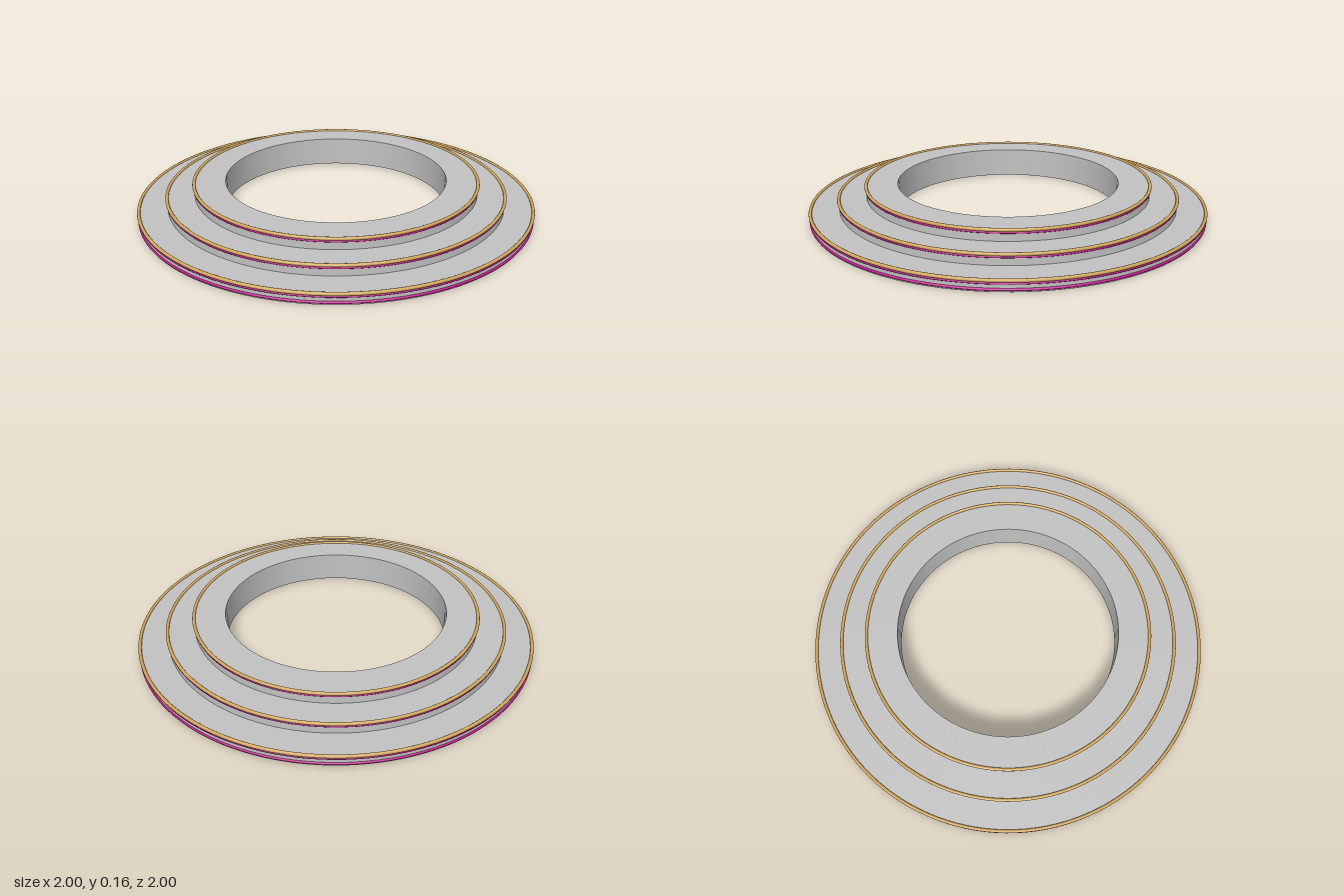
import * as THREE from 'three';
import { mergeGeometries } from 'three/addons/utils/BufferGeometryUtils.js';

const SEGMENTS = 128;

// Revolves each straight piece of a profile separately, so corners stay sharp.
function sharpLathe(profile) {
  const pieces = [];
  for (let i = 0; i < profile.length - 1; i++) {
    const ends = [profile[i], profile[i + 1]].map(([r, y]) => new THREE.Vector2(r, y));
    pieces.push(new THREE.LatheGeometry(ends, SEGMENTS));
  }
  return mergeGeometries(pieces);
}

export function createModel() {
  const material = (name, color) => {
    const m = new THREE.MeshStandardMaterial({ color });
    m.name = name;
    return m;
  };
  const stone = material('light grey', 0xc2c2c2);
  const gold = material('gold', 0xd0a55c);
  const magenta = material('magenta', 0xc0188c);

  const model = new THREE.Group();
  model.name = 'steppedRing';

  const add = (name, geometry, mat, parent = model) => {
    const mesh = new THREE.Mesh(geometry, mat);
    mesh.name = name;
    parent.add(mesh);
    return mesh;
  };

  // Horizontal round bead running around a tier
  const bead = (name, radius, y, tube, mat, parent) => {
    const geometry = new THREE.TorusGeometry(radius, tube, 12, SEGMENTS);
    geometry.rotateX(-Math.PI / 2);
    add(name, geometry, mat, parent).position.y = y;
  };

  const inner = 0.56;
  const tiers = [
    { radius: 0.991, top: 0.05 },
    { radius: 0.852, top: 0.1 },
    { radius: 0.717, top: 0.152 },
  ];

  // Stepped body with an open centre
  const profile = [[inner, 0]];
  let y = 0;
  for (const { radius, top } of tiers) {
    profile.push([radius, y], [radius, top]);
    y = top;
  }
  profile.push([inner, y], [inner, 0]);
  add('steppedBody', sharpLathe(profile), stone);

  // Gold rim and thin magenta line below it on every tier
  tiers.forEach(({ radius, top }, i) => {
    const trim = new THREE.Group();
    trim.name = `tierTrim${i + 1}`;
    bead('goldRim', radius, top, 0.008, gold, trim);
    bead('magentaLine', radius, top - 0.012, 0.005, magenta, trim);
    model.add(trim);
  });

  // Magenta line around the foot
  bead('footLine', tiers[0].radius, 0.011, 0.006, magenta, model);

  return model;
}
